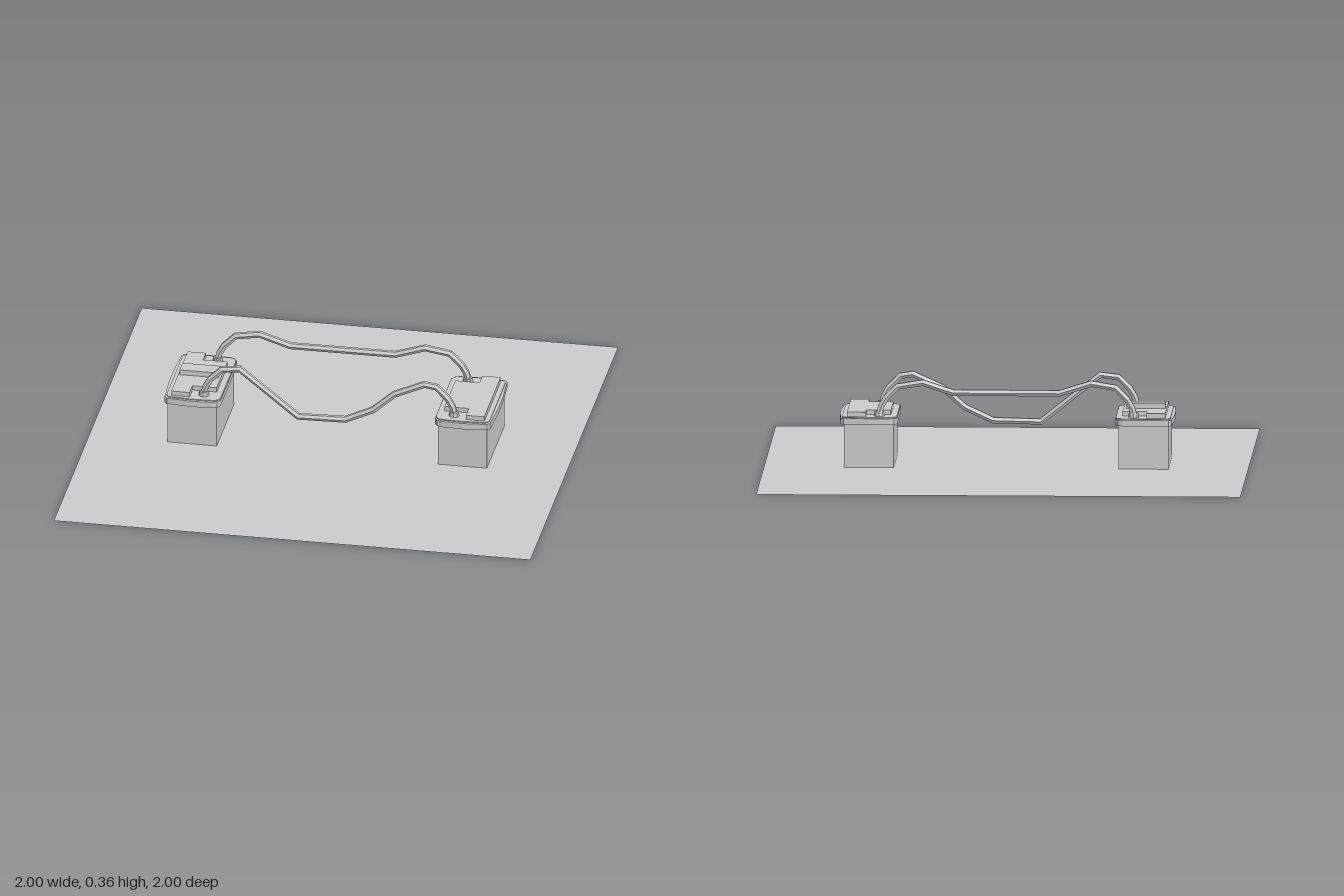
import * as THREE from 'three';

const mat = new THREE.MeshStandardMaterial({ color: 0xcccccc, flatShading: true });
const thin = new THREE.MeshStandardMaterial({ color: 0xcccccc, flatShading: true, side: THREE.DoubleSide });

function add(parent, name, geometry, x = 0, y = 0, z = 0, material = mat) {
  const mesh = new THREE.Mesh(geometry, material);
  mesh.name = name;
  mesh.position.set(x, y, z);
  parent.add(mesh);
  return mesh;
}

// Flat slab from half an outline (x, z >= 0), mirrored across z, extruded upwards
function slab(half, height) {
  const other = half.map(([x, z]) => [x, -z]).reverse();
  const shape = new THREE.Shape([...half, ...other].map(([x, z]) => new THREE.Vector2(x, z)));
  return new THREE.ExtrudeGeometry(shape, { depth: height, bevelEnabled: false }).rotateX(-Math.PI / 2);
}

// Path with one tube ring at each listed point and mitred bends
class BentPath extends THREE.Curve {
  constructor(points) {
    super();
    this.points = points;
  }
  getPointAt(u, target = new THREE.Vector3()) {
    const last = this.points.length - 1;
    const i = Math.min(Math.floor(u * last + 1e-6), last - 1);
    return target.lerpVectors(this.points[i], this.points[i + 1], u * last - i);
  }
  getPoint(t, target) {
    return this.getPointAt(t, target);
  }
  getTangentAt(u, target = new THREE.Vector3()) {
    const p = this.points, last = p.length - 1, i = Math.round(u * last);
    target.set(0, 0, 0);
    if (i > 0) target.add(p[i].clone().sub(p[i - 1]).normalize());
    if (i < last) target.add(p[i + 1].clone().sub(p[i]).normalize());
    return target.normalize();
  }
}

// Battery standing on the +x side, terminals facing the middle
function battery(name) {
  const group = new THREE.Group();
  group.name = name;
  add(group, 'case', new THREE.BoxGeometry(0.206, 0.185, 0.396), 0.567, 0.0925);
  const rim = [[0.45, 0.185], [0.462, 0.205], [0.482, 0.213], [0.57, 0.217], [0.672, 0.207], [0.683, 0.195], [0.691, 0.06]];
  add(group, 'lidRim', slab(rim, 0.026), 0, 0.18);
  const lid = [[0.452, 0.18], [0.47, 0.2], [0.57, 0.205], [0.665, 0.198], [0.678, 0.18]];
  add(group, 'lid', slab(lid, 0.03), 0, 0.18);
  // Raised plate with cut-outs for the terminals
  const plate = [[0.478, 0.122], [0.58, 0.122], [0.58, 0.186], [0.657, 0.186]];
  add(group, 'topPlate', slab(plate, 0.022), 0, 0.208);
  for (const z of [-0.157, 0.157]) {
    add(group, 'terminal', new THREE.CylinderGeometry(0.019, 0.022, 0.022, 8), 0.525, 0.219, z);
  }
  return group;
}

function cable(parent, name, z, profile) {
  const points = profile.map(([x, y]) => new THREE.Vector3(x, y, z));
  add(parent, name, new THREE.TubeGeometry(new BentPath(points), points.length - 1, 0.0145, 6, false), 0, 0, 0, thin);
}

export function createModel() {
  const model = new THREE.Group();
  model.name = 'linkedBatteries';

  add(model, 'groundSheet', new THREE.PlaneGeometry(2, 2).rotateX(-Math.PI / 2), 0, 0, 0, thin);

  model.add(battery('leftBattery'));
  const right = battery('rightBattery');
  right.rotation.y = Math.PI;
  model.add(right);
  // Vent cover on one battery only
  add(model, 'ventCover', new THREE.BoxGeometry(0.162, 0.03, 0.066), -0.57, 0.237, -0.002);

  // Both cables rise from the terminals the same way
  const rise = [[-0.528, 0.21], [-0.518, 0.25], [-0.498, 0.285], [-0.45, 0.333]];
  const fall = rise.map(([x, y]) => [-x, y]).reverse();
  cable(model, 'backCable', -0.16,
    [...rise, [-0.35, 0.35], [-0.22, 0.309], [0.22, 0.309], [0.345, 0.35], ...fall]);
  cable(model, 'frontCable', 0.155,
    [...rise, [-0.375, 0.342], [-0.13, 0.146], [0.068, 0.15], [0.185, 0.205], [0.275, 0.285], [0.4, 0.341], ...fall]);

  return model;
}
